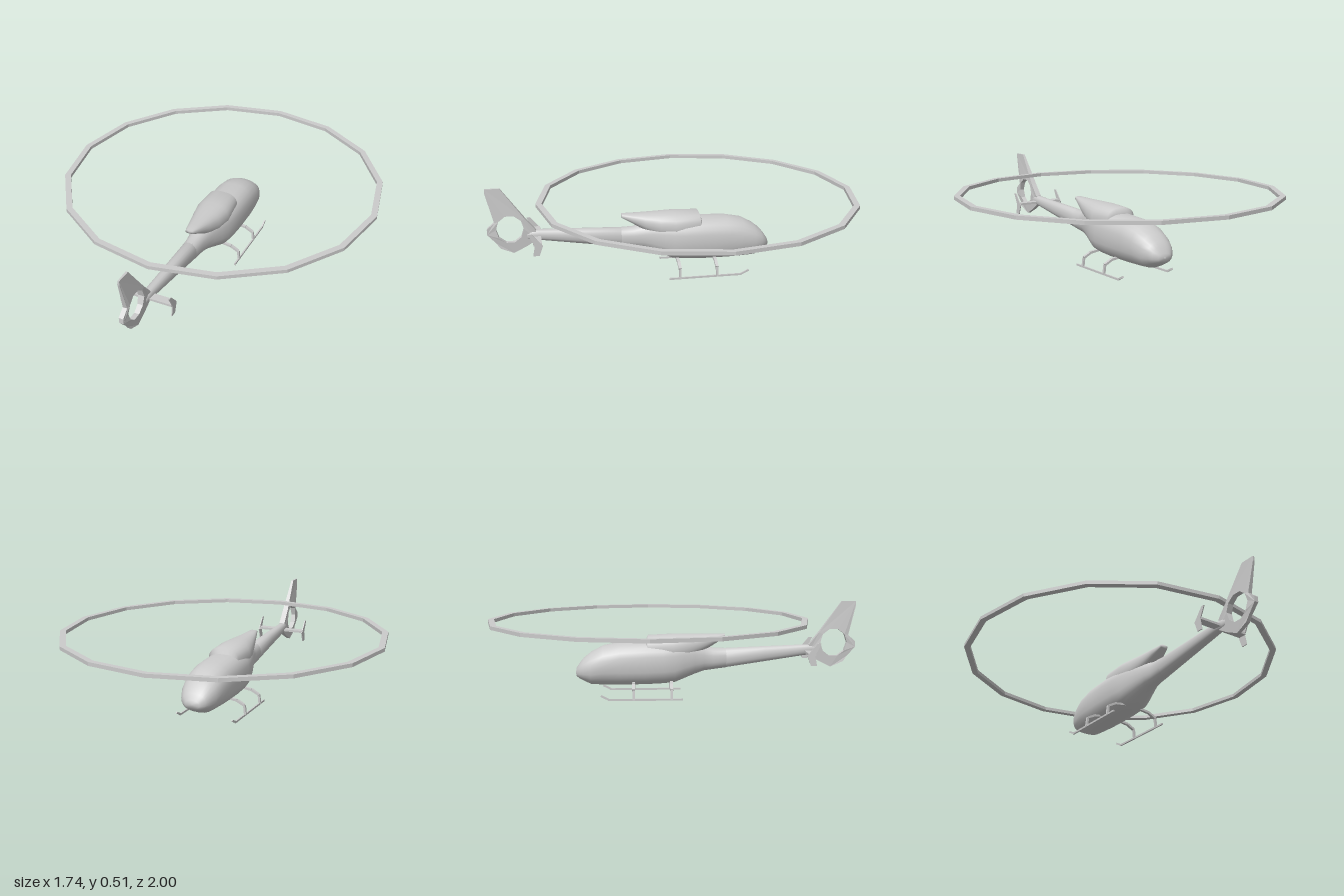
import * as THREE from 'three';

const mat = new THREE.MeshStandardMaterial({ color: 0xcccccc, side: THREE.DoubleSide });
const flat = new THREE.MeshStandardMaterial({ color: 0xcccccc, side: THREE.DoubleSide, flatShading: true });

function part(name, geometry, material = mat) {
  const m = new THREE.Mesh(geometry, material);
  m.name = name;
  return m;
}

// Lofted skin through superellipse sections [z, yTop, yBottom, halfWidth, exponent]
function loft(sections, n = 24) {
  const pos = [], idx = [];
  const pw = (v, e) => Math.sign(v) * Math.abs(v) ** (2 / e);
  for (const [z, top, bot, w, e = 2.3] of sections) {
    for (let j = 0; j < n; j++) {
      const a = (j / n) * Math.PI * 2;
      pos.push(w * pw(Math.cos(a), e), (top + bot) / 2 + ((top - bot) / 2) * pw(Math.sin(a), e), z);
    }
  }
  for (let i = 0; i < sections.length - 1; i++) {
    for (let j = 0; j < n; j++) {
      const k = (j + 1) % n, a = i * n + j, b = i * n + k, c = a + n, d = b + n;
      idx.push(a, b, c, b, d, c);
    }
  }
  const g = new THREE.BufferGeometry();
  g.setAttribute('position', new THREE.Float32BufferAttribute(pos, 3));
  g.setIndex(idx);
  g.computeVertexNormals();
  return g;
}

// Plate drawn as [z, y] points, centred on x = 0
function plate(points, thickness, hole) {
  const v = (p) => p.map(([z, y]) => new THREE.Vector2(-z, y));
  const s = new THREE.Shape(v(points));
  if (hole) s.holes.push(new THREE.Path(v(hole)));
  const g = new THREE.ExtrudeGeometry(s, { depth: thickness, bevelEnabled: false });
  g.translate(0, 0, -thickness / 2);
  g.rotateY(Math.PI / 2);
  return g;
}

// Rectangular bar between two points
function bar(name, a, b, w, h) {
  const p = new THREE.Vector3(...a), q = new THREE.Vector3(...b);
  const m = part(name, new THREE.BoxGeometry(w, h, p.distanceTo(q)), flat);
  m.position.copy(p).add(q).multiplyScalar(0.5);
  m.lookAt(q);
  return m;
}

export function createModel() {
  const model = new THREE.Group();
  const body = new THREE.Group();
  body.name = 'airframe';
  body.position.x = -0.003;
  model.add(body);

  // Rotor disc rim: sixteen-sided ring
  const rim = [[0.838, 0.403], [0.87, 0.403], [0.87, 0.422], [0.838, 0.422], [0.838, 0.403]];
  const rotor = part('rotorRing', new THREE.LatheGeometry(rim.map((p) => new THREE.Vector2(...p)), 16), flat);
  rotor.position.z = -0.13;
  model.add(rotor);

  // Cabin, nose at -z, narrowing into the boom
  body.add(part('fuselage', loft([
    [-0.528, 0.135, 0.13, 0.003],
    [-0.525, 0.155, 0.11, 0.04],
    [-0.505, 0.185, 0.095, 0.065],
    [-0.485, 0.21, 0.085, 0.08],
    [-0.445, 0.242, 0.067, 0.097],
    [-0.38, 0.277, 0.063, 0.109],
    [-0.29, 0.294, 0.063, 0.114, 2.5],
    [-0.15, 0.3, 0.065, 0.115, 2.6],
    [-0.05, 0.3, 0.07, 0.112, 2.6],
    [0.01, 0.3, 0.076, 0.103, 2.6],
    [0.06, 0.298, 0.096, 0.09, 2.5],
    [0.12, 0.29, 0.12, 0.07, 2.4],
    [0.17, 0.276, 0.137, 0.056],
    [0.22, 0.262, 0.144, 0.047],
    [0.29, 0.26, 0.153, 0.043],
  ])));

  // Tail boom
  body.add(part('tailBoom', loft([
    [0.28, 0.2, 0.2, 0.001],
    [0.28, 0.26, 0.152, 0.043],
    [0.5, 0.269, 0.185, 0.034],
    [0.73, 0.278, 0.22, 0.025],
    [0.79, 0.272, 0.224, 0.017],
    [0.8, 0.25, 0.245, 0.001],
  ], 16)));

  // Engine cowling with overhanging rear lip
  body.add(part('engineCowling', loft([
    [-0.15, 0.29, 0.2, 0.001],
    [-0.147, 0.302, 0.2, 0.072, 3],
    [-0.136, 0.332, 0.19, 0.088, 2.6],
    [0, 0.339, 0.18, 0.096, 2.4],
    [0.08, 0.339, 0.2, 0.08, 2.3],
    [0.16, 0.338, 0.24, 0.058, 2.3],
    [0.225, 0.338, 0.282, 0.04, 2.4],
    [0.285, 0.338, 0.318, 0.022, 3],
    [0.286, 0.328, 0.327, 0.001],
  ])));

  // Tail fin with the round fan opening, thinning towards the tip
  const hole = [];
  for (let i = 0; i < 10; i++) {
    const a = (i / 10) * Math.PI * 2;
    hole.push([0.88 + 0.073 * Math.cos(a), 0.29 + 0.077 * Math.sin(a)]);
  }
  const fin = plate([
    [1.0, 0.515], [0.922, 0.515], [0.8, 0.345], [0.745, 0.278], [0.74, 0.225], [0.795, 0.19], [0.865, 0.155],
    [0.935, 0.185], [0.955, 0.215], [1.0, 0.265], [1.0, 0.295], [0.96, 0.33], [1.0, 0.49],
  ], 2, hole);
  const fp = fin.attributes.position;
  for (let i = 0; i < fp.count; i++) {
    const y = fp.getY(i);
    const half = y > 0.3 ? 0.018 - (y - 0.3) * 0.055 : 0.018 - (0.3 - y) * 0.06;
    fp.setX(i, fp.getX(i) * half * (fp.getZ(i) > 0.95 ? 0.7 : 1));
  }
  fin.computeVertexNormals();
  body.add(part('tailFin', fin, flat));

  // Tailplane and its swept end plates
  const tailplane = part('tailplane', new THREE.BoxGeometry(0.28, 0.012, 0.045), flat);
  tailplane.position.set(0, 0.241, 0.742);
  body.add(tailplane);
  const endPlate = [[0.79, 0.3], [0.77, 0.3], [0.715, 0.235], [0.735, 0.18], [0.768, 0.18], [0.757, 0.235]];

  for (const s of [1, -1]) {
    const e = part('tailplaneEndPlate', plate(endPlate, 0.005), flat);
    e.position.x = s * 0.14;
    body.add(e);

    // Landing skid with raised front tip
    const gear = new THREE.Group();
    gear.name = s > 0 ? 'leftSkid' : 'rightSkid';
    gear.add(bar('skidRunner', [s * 0.158, 0.005, 0.05], [s * 0.158, 0.005, -0.35], 0.008, 0.01));
    gear.add(bar('skidTip', [s * 0.158, 0.006, -0.345], [s * 0.158, 0.027, -0.388], 0.008, 0.01));

    // Bent struts up into the belly
    for (const z of [-0.01, -0.213]) {
      const path = [[0.159, 0.003], [0.153, 0.055], [0.11, 0.078], [0.04, 0.088]];
      for (let i = 0; i < 3; i++) {
        const [a, b] = [path[i], path[i + 1]];
        gear.add(bar('skidStrut', [s * a[0], a[1], z], [s * b[0], b[1], z], i ? 0.016 : 0.012, 0.012));
      }
    }
    body.add(gear);
  }
  return model;
}
